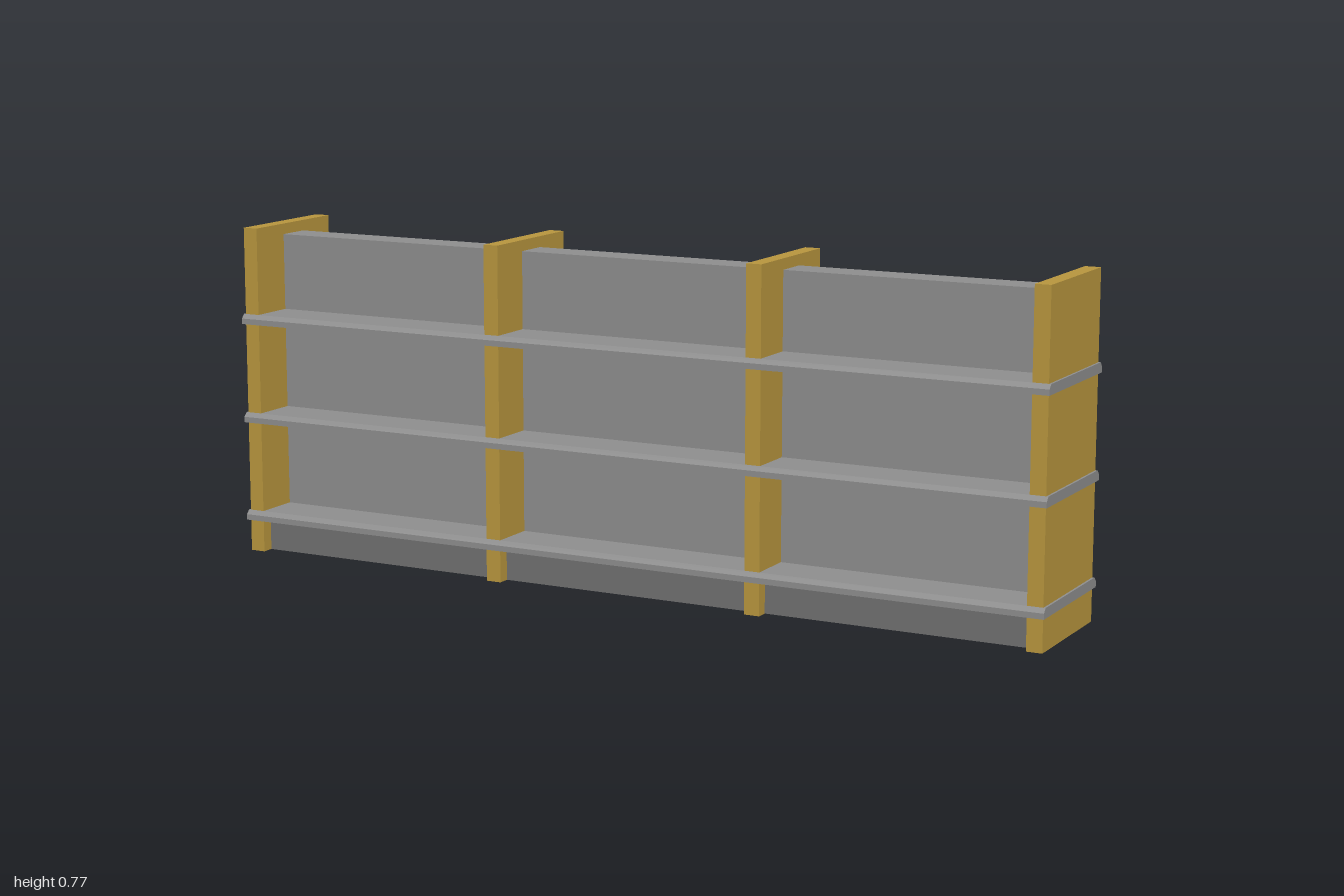
import * as THREE from 'three';

export function createModel() {
  const group = new THREE.Group();
  const wood = new THREE.MeshStandardMaterial({ color: 0xb8963e });
  const metal = new THREE.MeshStandardMaterial({ color: 0x8e8e8e });
  const darkMetal = new THREE.MeshStandardMaterial({ color: 0x707070 });

  const add = (name, geometry, material, x, y, z = 0) => {
    const mesh = new THREE.Mesh(geometry, material);
    mesh.name = name;
    mesh.position.set(x, y, z);
    group.add(mesh);
  };

  // Base plinth and central back panel, between the end uprights
  add('plinth', new THREE.BoxGeometry(1.92, 0.08, 0.24), darkMetal, 0, 0.04);
  add('centrePanel', new THREE.BoxGeometry(1.92, 0.67, 0.08), metal, 0, 0.41);

  // Four uprights
  const upright = new THREE.BoxGeometry(0.036, 0.77, 0.297);
  for (const x of [-0.977, -0.326, 0.326, 0.977]) add('upright', upright, wood, x, 0.385);

  // Double-sided shelves with bevelled upper edges, running full length
  const profile = new THREE.Shape([
    [-0.158, 0], [0.158, 0], [0.158, 0.013], [0.149, 0.023], [-0.149, 0.023], [-0.158, 0.013],
  ].map(([z, y]) => new THREE.Vector2(z, y)));
  const shelf = new THREE.ExtrudeGeometry(profile, { depth: 2, bevelEnabled: false });
  shelf.translate(0, 0, -1).rotateY(Math.PI / 2);
  for (const y of [0.075, 0.31, 0.544]) add('shelf', shelf, metal, 0, y);

  return group;
}
